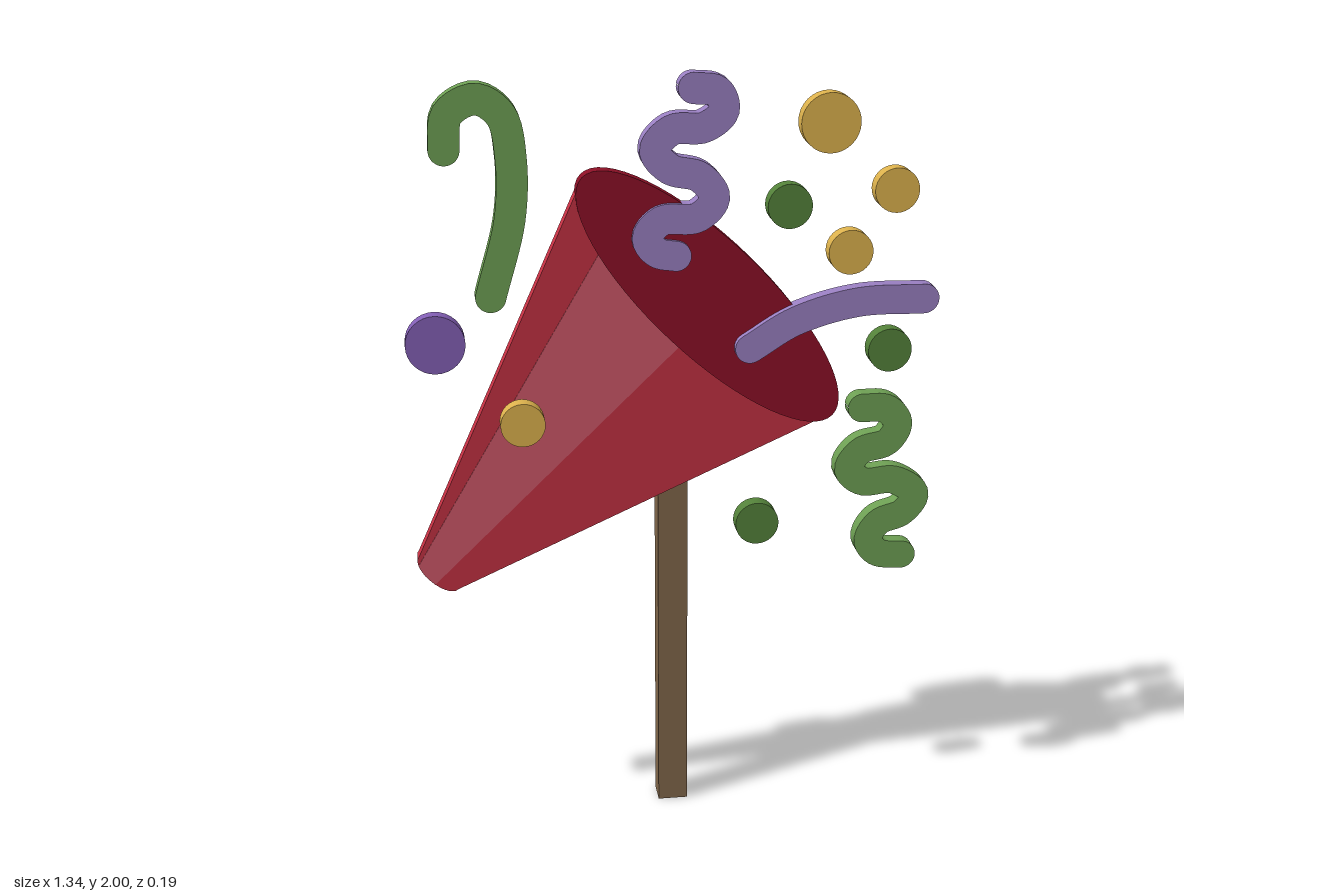
import * as THREE from 'three';
import { toCreasedNormals } from 'three/addons/utils/BufferGeometryUtils.js';

const RED = 0xc23042, DARK_RED = 0x8c1026, PINK = 0xcd5768, WOOD = 0x80664a;
const LILAC = 0x997fc1, PURPLE = 0x835fb5, LIGHT_GREEN = 0x6ea054, GREEN = 0x54823a, YELLOW = 0xddb24d;

function part(name, geometry, color, parent) {
  const mesh = new THREE.Mesh(geometry, new THREE.MeshStandardMaterial({ color }));
  mesh.name = name;
  parent.add(mesh);
  return mesh;
}

// Flat plate of a 2D shape between z0 and z1
function plate(shape, z0, z1) {
  const g = new THREE.ExtrudeGeometry(shape, { depth: z1 - z0, bevelEnabled: false, curveSegments: 32 });
  return toCreasedNormals(g.translate(0, 0, z0), 0.6);
}

// Flat ribbon of constant width with round ends, swept along a smooth curve
function ribbon(points, z0, depth = 0.042, r = 0.038) {
  const curve = new THREE.CatmullRomCurve3(points.map(([x, y]) => new THREE.Vector3(x, y, 0)), false, 'centripetal');
  const n = points.length * 7, caps = 8, stations = [];
  const add = (p, t, w) => {
    const corner = (side, z) => [p.x - t.y * w * side, p.y + t.x * w * side, z];
    stations.push([corner(1, z0 + depth), corner(-1, z0 + depth), corner(-1, z0), corner(1, z0)]);
  };
  const addCap = (u, dir, i) => {
    const a = (i / caps) * 1.55, t = curve.getTangentAt(u);
    add(curve.getPointAt(u).addScaledVector(t, dir * r * Math.sin(a)), t, r * Math.cos(a));
  };
  for (let i = caps; i > 0; i--) addCap(0, -1, i);
  for (let i = 0; i <= n; i++) add(curve.getPointAt(i / n), curve.getTangentAt(i / n), r);
  for (let i = 1; i <= caps; i++) addCap(1, 1, i);

  const pos = [];
  for (let i = 0; i + 1 < stations.length; i++) {
    const a = stations[i], b = stations[i + 1];
    for (let k = 0; k < 4; k++) {
      const m = (k + 1) % 4;
      pos.push(...a[k], ...a[m], ...b[m], ...a[k], ...b[m], ...b[k]);
    }
  }
  const g = new THREE.BufferGeometry();
  g.setAttribute('position', new THREE.Float32BufferAttribute(pos, 3));
  g.computeVertexNormals();
  return toCreasedNormals(g, 0.8);
}

export function createModel() {
  const model = new THREE.Group();
  model.name = 'partyPopperSign';

  // Post behind the sign
  part('post', new THREE.BoxGeometry(0.078, 1.34, 0.068), WOOD, model).position.set(0, 0.67, -0.061);

  // Cone, built upright with the mouth centre at the origin, then tilted
  const cone = new THREE.Group();
  cone.name = 'cone';
  cone.position.set(0.088, 1.432, 0);
  cone.rotation.z = -Math.PI / 4;
  model.add(cone);

  const A = 0.45, B = 0.143, TIP = -0.994;
  const body = new THREE.Shape();
  body.absellipse(0, 0, A - 0.003, B - 0.003, 0, Math.PI, false);
  body.absellipse(0, TIP, 0.068, 0.03, Math.PI, 2 * Math.PI, false);
  body.closePath();
  part('coneBody', plate(body, -0.022, 0.021), RED, cone);

  const mouth = new THREE.Shape();
  mouth.absellipse(0, 0, A, B, 0, 2 * Math.PI, false);
  part('coneMouth', plate(mouth, -0.015, 0.028), DARK_RED, cone);

  // Pale highlight stripe from the tip to the mouth
  const onEllipse = (x, a, b, y) => new THREE.Vector2(x, y - b * Math.sqrt(1 - (x / a) ** 2));
  const stripe = new THREE.Shape([
    onEllipse(-0.052, 0.068, 0.03, TIP), onEllipse(-0.02, 0.068, 0.03, TIP), onEllipse(0.015, 0.068, 0.03, TIP),
    onEllipse(0.03, A, B, 0), onEllipse(-0.13, A, B, 0), onEllipse(-0.285, A, B, 0),
  ]);
  part('coneHighlight', plate(stripe, 0.015, 0.023), PINK, cone);

  // Confetti discs: name, x, y, radius, back z, colour
  const discs = [
    ['greenConfetti', 0.28, 1.67, 0.056, 0.018, GREEN],
    ['purpleConfetti', -0.6, 1.352, 0.074, 0.022, PURPLE],
    ['greenConfetti', 0.542, 1.294, 0.056, 0.027, GREEN],
    ['greenConfetti', 0.206, 0.843, 0.056, 0.032, GREEN],
    ['yellowConfetti', 0.373, 1.877, 0.074, 0.038, YELLOW],
    ['yellowConfetti', 0.542, 1.708, 0.056, 0.043, YELLOW],
    ['yellowConfetti', 0.429, 1.557, 0.056, 0.048, YELLOW],
    ['yellowConfetti', -0.392, 1.145, 0.056, 0.053, YELLOW],
  ];
  for (const [name, x, y, r, z, color] of discs) {
    const g = new THREE.CylinderGeometry(r, r, 0.042, 32).rotateX(Math.PI / 2);
    part(name, g, color, model).position.set(x, y, z + 0.021);
  }

  // Streamers
  part('purpleSquiggle', ribbon([
    [0.042, 1.962], [0.101, 1.952], [0.116, 1.905], [0.069, 1.867], [-0.011, 1.862], [-0.053, 1.814], [-0.016, 1.767],
    [0.058, 1.745], [0.095, 1.692], [0.053, 1.645], [-0.037, 1.639], [-0.072, 1.597], [-0.048, 1.56], [0, 1.549],
  ], -0.003), LILAC, model);
  part('greenSquiggle', ribbon([
    [0.482, 1.135], [0.545, 1.13], [0.576, 1.088], [0.55, 1.04], [0.482, 1.019], [0.45, 0.971], [0.487, 0.934],
    [0.571, 0.934], [0.628, 0.891], [0.598, 0.843], [0.534, 0.817], [0.508, 0.769], [0.534, 0.732], [0.598, 0.722],
  ], 0.003), LIGHT_GREEN, model);
  part('purpleArc', ribbon([[0.187, 1.306], [0.302, 1.374], [0.46, 1.417], [0.632, 1.42]], 0.006), LILAC, model);
  part('greenHook', ribbon([
    [-0.561, 1.83], [-0.55, 1.915], [-0.482, 1.95], [-0.423, 1.91], [-0.402, 1.809], [-0.408, 1.66], [-0.46, 1.464],
  ], 0.01), LIGHT_GREEN, model);

  return model;
}
